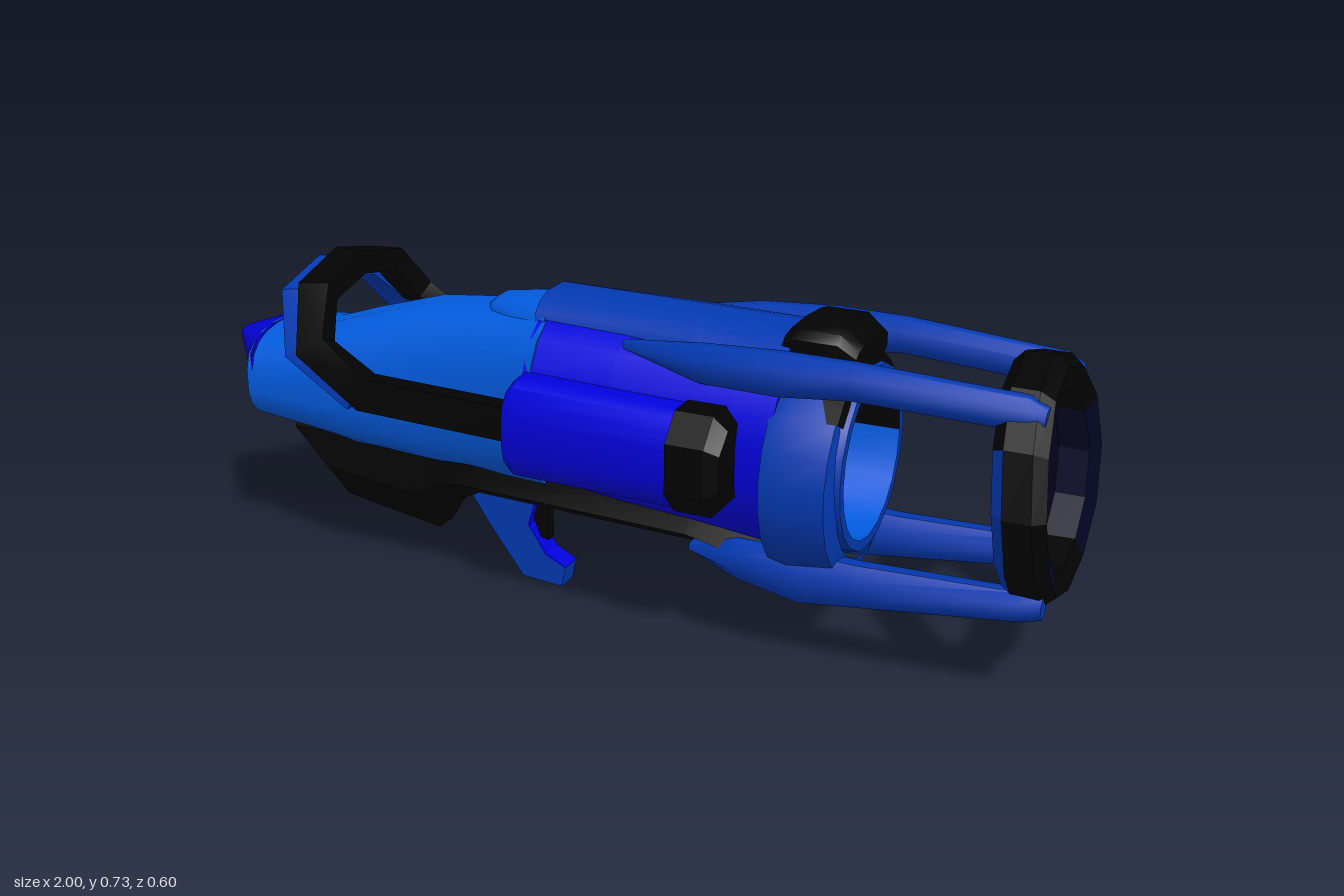
import * as THREE from 'three';
import { toCreasedNormals } from 'three/addons/utils/BufferGeometryUtils.js';

const paint = (name, color) => {
  const m = new THREE.MeshStandardMaterial({ color });
  m.name = name;
  return m;
};

// Skin a list of equal rings (anticlockwise seen from the far end), with end caps
function skin(rings, crease = 0.6) {
  const n = rings[0].length, pos = [];
  const tri = (...pts) => pts.forEach(p => pos.push(p.x, p.y, p.z));
  const centre = r => r.reduce((s, p) => s.add(p), new THREE.Vector3()).divideScalar(n);
  const last = rings[rings.length - 1], c0 = centre(rings[0]), c1 = centre(last);
  for (let j = 0; j < n; j++) {
    const k = (j + 1) % n;
    for (let i = 0; i < rings.length - 1; i++) {
      const a = rings[i], b = rings[i + 1];
      tri(a[j], a[k], b[j]);
      tri(a[k], b[k], b[j]);
    }
    tri(c0, rings[0][k], rings[0][j]);
    tri(c1, last[j], last[k]);
  }
  const g = new THREE.BufferGeometry();
  g.setAttribute('position', new THREE.Float32BufferAttribute(pos, 3));
  return toCreasedNormals(g, crease);
}

// Rounded cross-section; smaller power gives a boxier outline
function section(n, power = 1) {
  const f = v => Math.sign(v) * Math.pow(Math.abs(v) < 1e-6 ? 0 : Math.abs(v), power);
  return Array.from({ length: n }, (_, i) => {
    const a = (i + 0.5) / n * Math.PI * 2;
    return [f(Math.cos(a)) / Math.pow(Math.cos(Math.PI / n), power), f(Math.sin(a))];
  });
}

// Loft along x, rows are [x, bottom, top, halfWidth, centreZ]
function loft(rows, profile, crease) {
  return skin(rows.map(([x, y0, y1, w, cz = 0]) => profile.map(([v, u]) =>
    new THREE.Vector3(x, (y0 + y1) / 2 + v * (y1 - y0) / 2, cz + u * w))), crease);
}

// Rectangular bar swept along a path, facing away from the long axis
function bar(points, thick, wide) {
  const P = points.map(p => new THREE.Vector3(...p));
  return skin(P.map((p, i) => {
    const t = P[Math.min(i + 1, P.length - 1)].clone().sub(P[Math.max(i - 1, 0)]).normalize();
    const o = new THREE.Vector3(0, p.y - 0.46, p.z);
    o.addScaledVector(t, -o.dot(t)).normalize();
    const s = t.clone().cross(o);
    return [[1, 1], [-1, 1], [-1, -1], [1, -1]].map(([a, b]) =>
      p.clone().addScaledVector(o, a * thick / 2).addScaledVector(s, b * wide / 2));
  }), 0.4);
}

// Ring or arc around the long axis, profile points are [radius, x]; arcs start at +z and run downwards
function hoop(profile, sides, y, start = 0, sweep = 360) {
  const rad = THREE.MathUtils.degToRad;
  const g = new THREE.LatheGeometry(profile.map(p => new THREE.Vector2(...p)), sides, rad(start), rad(sweep));
  g.rotateZ(-Math.PI / 2).translate(0, y, 0);
  return toCreasedNormals(g, 0.6);
}

export function createModel() {
  const light = paint('light blue', 0x025bdf);
  const mid = paint('mid blue', 0x0339b2);
  const deep = paint('deep blue', 0x0202dd);
  const navy = paint('navy', 0x030524);
  const black = paint('black', 0x030303);
  const group = new THREE.Group();
  const add = (name, geo, mat) => {
    const m = new THREE.Mesh(geo, mat);
    m.name = name;
    group.add(m);
    return m;
  };
  const oct = section(8), boxy = section(16, 0.65);

  // Rear housing, its pointed hood and raised cowl
  add('rearBody', loft([
    [-0.9, 0.32, 0.54, 0.155], [-0.75, 0.3, 0.555, 0.152], [-0.65, 0.28, 0.59, 0.145],
    [-0.47, 0.26, 0.645, 0.13], [-0.33, 0.26, 0.66, 0.14], [-0.14, 0.27, 0.68, 0.19],
  ], section(20, 0.74)), light);
  add('rearTip', loft([[-1, 0.48, 0.507, 0.03], [-0.885, 0.37, 0.543, 0.157]], section(12, 0.7)), deep);
  add('rearTipUnderside', loft([[-0.985, 0.455, 0.485, 0.02], [-0.89, 0.322, 0.45, 0.12]], section(12, 0.7)), black);
  add('rearCowl', loft([
    [-0.335, 0.6, 0.655, 0.025], [-0.3, 0.58, 0.682, 0.06], [-0.23, 0.55, 0.69, 0.09], [-0.145, 0.5, 0.7, 0.115],
  ], boxy), light);

  // Middle housing and top plate
  add('middleBody', loft([
    [-0.16, 0.28, 0.69, 0.19], [0.05, 0.25, 0.69, 0.2], [0.42, 0.22, 0.68, 0.21],
  ], section(20, 0.9)), deep);
  add('topPlate', loft([
    [-0.17, 0.5, 0.715, 0.105], [0.2, 0.5, 0.71, 0.12], [0.42, 0.5, 0.7, 0.15],
  ], boxy), mid);
  add('topBlock', loft([
    [0.4, 0.64, 0.715, 0.1], [0.43, 0.64, 0.735, 0.105], [0.52, 0.64, 0.735, 0.105], [0.56, 0.64, 0.7, 0.1],
  ], section(12, 0.6)), black);

  // Black underside with the deep magazine
  add('underside', loft([
    [-0.82, 0.295, 0.32, 0.09], [-0.72, 0.13, 0.31, 0.11], [-0.47, 0.09, 0.29, 0.11],
    [-0.42, 0.17, 0.29, 0.115], [-0.36, 0.2, 0.3, 0.125], [0.22, 0.19, 0.32, 0.165],
    [0.32, 0.165, 0.3, 0.165], [0.415, 0.18, 0.3, 0.15],
  ], [[1, 0.8], [0.1, 1], [-0.3, 0.72], [-1, 0.25], [-1, -0.25], [-0.3, -0.72], [0.1, -1], [1, -0.8]], 0.3), black);

  // Trigger: mid blue sides, deep blue inner curve
  const outline = [[-0.4, 0.22], [-0.34, 0.13], [-0.25, 0.01], [-0.15, 0.002], [-0.14, 0.05],
    [-0.19, 0.075], [-0.235, 0.14], [-0.21, 0.22]];
  const trigger = new THREE.ExtrudeGeometry(new THREE.Shape(outline.map(p => new THREE.Vector2(...p))),
    { depth: 0.056, bevelEnabled: false });
  add('trigger', trigger.translate(0, 0, -0.028), mid);
  for (let i = 4; i < 7; i++) {
    const [a, b] = [outline[i], outline[i + 1]];
    const face = new THREE.BoxGeometry(Math.hypot(b[0] - a[0], b[1] - a[1]), 0.004, 0.056);
    face.rotateZ(Math.atan2(b[1] - a[1], b[0] - a[0]));
    add('triggerFace', face.translate((a[0] + b[0]) / 2, (a[1] + b[1]) / 2, 0), deep);
  }
  const spur = new THREE.Shape([[-0.25, 0.21], [-0.21, 0.11], [-0.19, 0.105], [-0.19, 0.21]]
    .map(p => new THREE.Vector2(...p)));
  add('triggerSpur', new THREE.ExtrudeGeometry(spur, { depth: 0.026, bevelEnabled: false })
    .translate(0, 0, -0.013), black);

  // Muzzle: cradle-shaped collar, black barrel top, and recessed bore (black above, light below)
  add('muzzleCollar', hoop([[0.2, 0.4], [0.24, 0.41], [0.248, 0.45], [0.235, 0.55], [0.195, 0.563]],
    18, 0.417, -54, 288), mid);
  add('barrelTop', hoop([[0.17, 0.4], [0.222, 0.41], [0.222, 0.555], [0.195, 0.563]], 8, 0.44, 216, 108), black);
  add('muzzleRim', hoop([[0.205, 0.55], [0.2, 0.572], [0.178, 0.572]], 20, 0.44), mid);
  const bore = [[0.178, 0.572], [0.175, 0.425]];
  add('boreWallLower', hoop(bore, 10, 0.44, 0, 180), light);
  add('boreWallUpper', hoop(bore, 10, 0.44, 180, 180), black);
  [['boreUpper', deep, 0.225, Math.PI - 0.45], ['boreLower', light, Math.PI - 0.225, Math.PI + 0.45]]
    .forEach(([name, mat, start, sweep]) => {
      const disc = new THREE.Shape();
      disc.absarc(0, 0, 0.18, start, start + sweep, false);
      add(name, new THREE.ShapeGeometry(disc, 16).rotateY(Math.PI / 2).translate(0.43, 0.443, 0), mat);
    });

  // Front ring, bowed forward and leaning back at the top, with navy flanks and blue rear edges
  const rearEdge = [[0.238, 0.87], [0.262, 0.897]];
  const rim = [[0.262, 0.897], [0.262, 0.955], [0.238, 0.98]];
  const inner = [[0.238, 0.98], [0.187, 0.965], [0.19, 0.9], [0.238, 0.87]];
  const ringArc = (profile, start, sweep, mat) => {
    const g = hoop(profile, sweep / 30, 0.461, start, sweep);
    const p = g.attributes.position;
    for (let i = 0; i < p.count; i++) {
      const d = p.getY(i) - 0.461;
      p.setX(i, p.getX(i) - d * 0.08 + 0.018 * (1 - (d / 0.262) ** 2));
      p.setZ(i, p.getZ(i) * 0.95);
    }
    g.computeVertexNormals();
    add('frontRing', g, mat);
  };
  ringArc(rim, 0, 360, black);
  for (const [start, sweep, edgeMat, innerMat] of [
    [-30, 90, mid, navy], [60, 60, black, black], [120, 90, mid, navy], [210, 120, black, black],
  ]) {
    ringArc(rearEdge, start, sweep, edgeMat);
    ringArc(inner, start, sweep, innerMat);
  }

  for (const s of [1, -1]) {
    // Side pods with black noses
    add('sidePod', loft([
      [-0.165, 0.365, 0.56, 0.08, s * 0.19], [-0.15, 0.35, 0.575, 0.085, s * 0.19], [0.24, 0.35, 0.57, 0.095, s * 0.195],
    ], section(16, 0.75)), deep);
    add('podNose', loft([
      [0.23, 0.352, 0.575, 0.107, s * 0.2], [0.315, 0.352, 0.575, 0.107, s * 0.2], [0.345, 0.385, 0.545, 0.092, s * 0.2],
    ], section(8, 0.8), 0.4), black);
    // Struts carrying the front ring
    add('upperStrut', loft([
      [0.06, 0.645, 0.665, 0.01, s * 0.13], [0.25, 0.61, 0.69, 0.035, s * 0.158], [0.42, 0.61, 0.7, 0.04, s * 0.163],
      [0.58, 0.625, 0.7, 0.036, s * 0.161], [0.93, 0.61, 0.68, 0.032, s * 0.142], [0.965, 0.62, 0.66, 0.025, s * 0.14],
    ], oct, 0.9), mid);
    add('lowerStrut', loft([
      [0.22, 0.215, 0.235, 0.02, s * 0.13], [0.33, 0.18, 0.27, 0.04, s * 0.142], [0.47, 0.15, 0.265, 0.042, s * 0.138],
      [0.6, 0.165, 0.26, 0.038, s * 0.138], [0.94, 0.205, 0.27, 0.033, s * 0.137], [0.985, 0.215, 0.265, 0.025, s * 0.135],
    ], oct, 0.9), mid);
  }

  // Carry handle: side rails rising into a peaked arch, with a blue rear strip
  const half = [[-0.14, 0.473, 0.222], [-0.53, 0.483, 0.222], [-0.66, 0.565, 0.218], [-0.695, 0.672, 0.145]];
  const mirror = (pts, peak) => [...pts, peak, ...pts.map(([x, y, z]) => [x, y, -z]).reverse()];
  add('carryHandle', bar(mirror(half, [-0.7, 0.705, 0]), 0.055, 0.075), black);
  const strip = [[-0.55, 0.47, 0.222], [-0.7, 0.555, 0.217], [-0.75, 0.652, 0.145]];
  add('handleStrip', bar(mirror(strip, [-0.755, 0.682, 0]), 0.05, 0.06), mid);

  return group;
}
